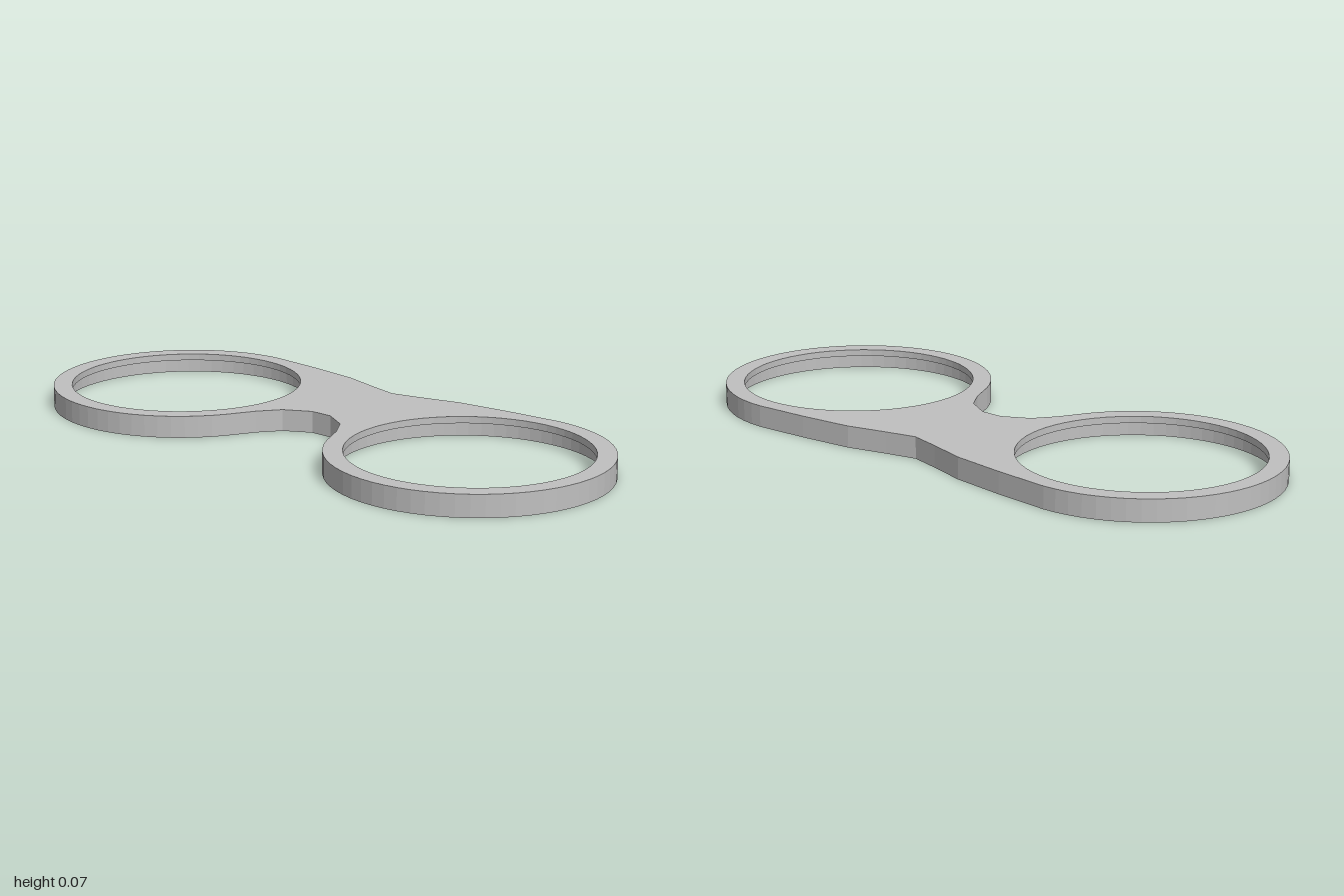
import * as THREE from 'three';

const CX = 0.579, OUTER = 0.421, INNER = 0.363, RECESS = 0.39;
const HEIGHT = 0.067, LEDGE = 0.046, SEG = 64;

// Half outline on the +x side as (x, z): front of bridge, around the ring, back of bridge
function halfOutline() {
  const pts = [[0.037, -0.004], [0.118, 0.042], [0.165, 0.11]];
  const step = (Math.PI * 2) / SEG;
  for (let i = 27; i >= -16; i--) {
    pts.push([CX + OUTER * Math.cos(i * step), OUTER * Math.sin(i * step)]);
  }
  pts.push([0.4, -0.408], [0.225, -0.388], [0.1, -0.354]);
  return pts;
}

// Full outline, counter-clockwise in (x, -z)
function outline() {
  const half = halfOutline();
  const mirrored = half.map(([x, z]) => [-x, z]).reverse();
  return [...half, [0, -0.33], ...mirrored].map(([x, z]) => new THREE.Vector2(x, -z));
}

// Flat face with two round openings
function plate(points, holeRadius) {
  const shape = new THREE.Shape(points);
  for (const s of [-1, 1]) {
    shape.holes.push(new THREE.Path().absarc(s * CX, 0, holeRadius, 0, Math.PI * 2, true));
  }
  return new THREE.ShapeGeometry(shape, SEG / 2).rotateX(-Math.PI / 2);
}

// Upright wall following the outline
function wall(points) {
  const pos = [], index = [], n = points.length;
  points.forEach((p, i) => {
    pos.push(p.x, 0, -p.y, p.x, HEIGHT, -p.y);
    const a = 2 * i, b = 2 * ((i + 1) % n);
    index.push(a, b, b + 1, a, b + 1, a + 1);
  });
  const g = new THREE.BufferGeometry();
  g.setAttribute('position', new THREE.Float32BufferAttribute(pos, 3));
  g.setIndex(index);
  g.computeVertexNormals();
  return g;
}

export function createModel() {
  const group = new THREE.Group();
  group.name = 'twinRingFrame';
  const grey = new THREE.MeshStandardMaterial({ color: 0xc0c0c0, flatShading: true, side: THREE.DoubleSide });
  grey.name = 'grey';
  const add = (name, geometry) => {
    const mesh = new THREE.Mesh(geometry, grey);
    mesh.name = name;
    group.add(mesh);
    return mesh;
  };

  const points = outline();
  add('topFace', plate(points, INNER)).position.y = HEIGHT;
  // Underside: same outline turned over, with wider openings
  const flipped = points.map(p => new THREE.Vector2(p.x, -p.y)).reverse();
  add('underside', plate(flipped, RECESS).rotateX(Math.PI));
  add('outerWall', wall(points));

  // Stepped inner wall of each ring: lip above, recess below
  const profile = [[INNER, HEIGHT], [INNER, LEDGE], [RECESS, LEDGE], [RECESS, 0]]
    .map(([r, y]) => new THREE.Vector2(r, y));
  for (const [name, s] of [['leftRingSeat', 1], ['rightRingSeat', -1]]) {
    add(name, new THREE.LatheGeometry(profile, SEG)).position.x = s * CX;
  }
  return group;
}
